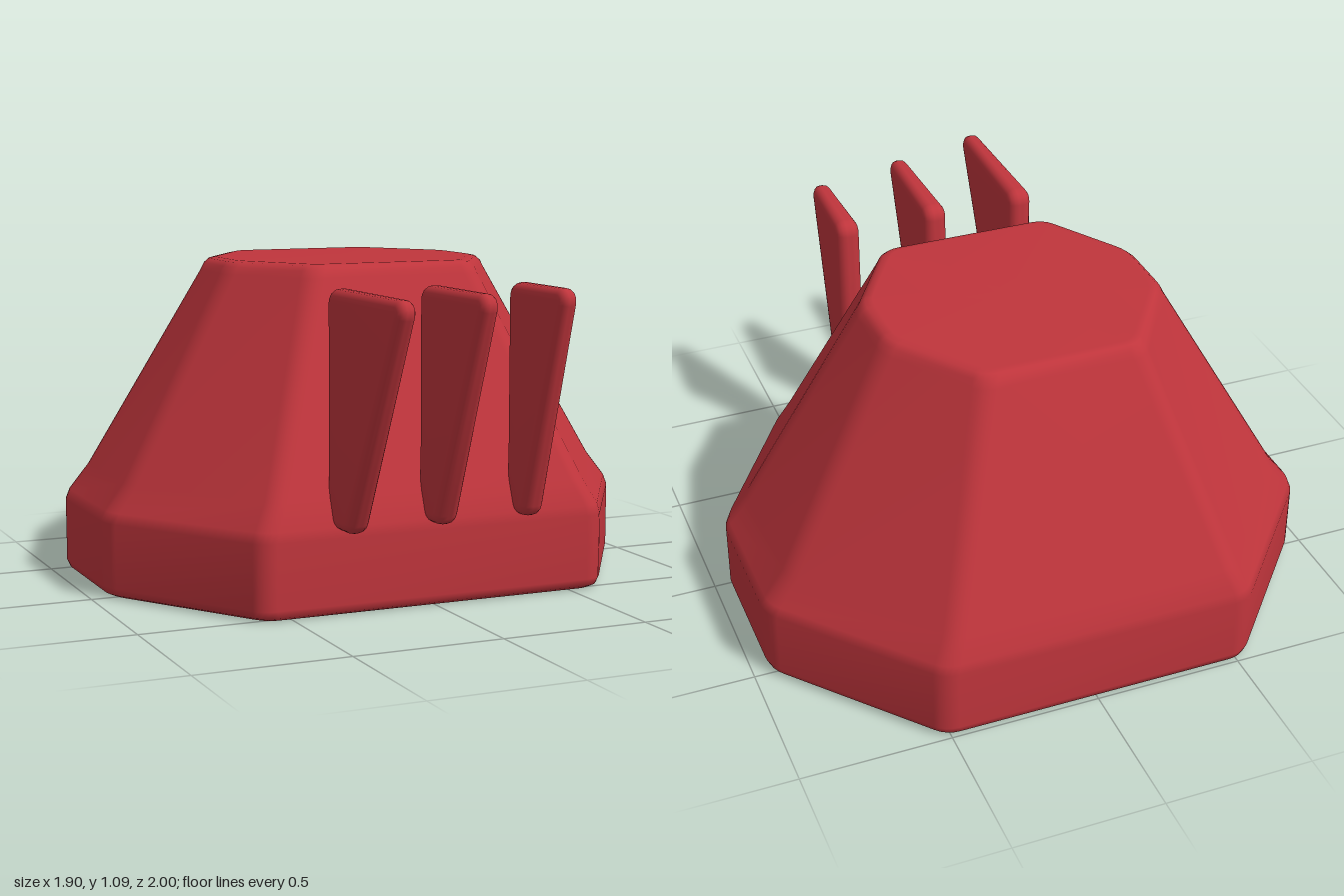
import * as THREE from 'three';
import { mergeVertices, toCreasedNormals } from 'three/addons/utils/BufferGeometryUtils.js';

// Softens every corner of a closed polygon with a short curve
function roundLoop(corners, cut, steps) {
  const pts = corners.map(([a, b]) => new THREE.Vector2(a, b));
  return pts.flatMap((p, i) => {
    const prev = pts[(i + pts.length - 1) % pts.length];
    const next = pts[(i + 1) % pts.length];
    const start = p.clone().add(prev.clone().sub(p).setLength(cut));
    const end = p.clone().add(next.clone().sub(p).setLength(cut));
    return new THREE.QuadraticBezierCurve(start, p, end).getPoints(steps);
  });
}

// Skins a stack of equal-length rings and caps both ends
function loft(rings) {
  const n = rings[0].length;
  const pos = rings.flat(2);
  const index = [];
  for (let r = 0; r < rings.length - 1; r++) {
    for (let i = 0; i < n; i++) {
      const a = r * n + i, b = r * n + (i + 1) % n;
      index.push(a, b, b + n, a, b + n, a + n);
    }
  }
  const last = (rings.length - 1) * n, bottom = rings.length * n, top = bottom + 1;
  pos.push(0, rings[0][0][1], -0.23, 0, rings[rings.length - 1][0][1], -0.23);
  for (let i = 0; i < n; i++) {
    const j = (i + 1) % n;
    index.push(bottom, j, i, top, last + i, last + j);
  }
  const g = new THREE.BufferGeometry();
  g.setAttribute('position', new THREE.Float32BufferAttribute(pos, 3));
  g.setIndex(index);
  g.computeVertexNormals();
  return g;
}

// Mirrors the four corners of one side into a full octagon
function octagon(half) {
  const mirrored = half.map(([x, z]) => [-x, z]).reverse();
  return roundLoop([...half, ...mirrored], 0.045, 4);
}

function bodyGeometry() {
  const base = octagon([[0.6, 0.54], [0.95, 0], [0.95, -0.5], [0.52, -1]]);
  const crown = octagon([[0.3, 0.21], [0.49, -0.1], [0.49, -0.36], [0.27, -0.68]]);
  const ring = (loop, y, sx, sz = sx) =>
    loop.map((p) => [p.x * sx, y, -0.23 + (p.y + 0.23) * sz]);
  return loft([
    ring(base, 0, 0.965), ring(base, 0.01, 0.988), ring(base, 0.035, 1),
    ring(base, 0.25, 1), ring(base, 0.285, 0.985, 0.995), ring(base, 0.37, 0.915, 0.955),
    ring(crown, 1.045, 1), ring(crown, 1.07, 0.975), ring(crown, 1.085, 0.94),
    ring(crown, 1.09, 0.89),
  ]);
}

// Upright wedge fin: profile in z and y, thickness along x
function finGeometry(tip, foot) {
  const outline = [[0.503, 0.31], [foot, 0.31], [tip, 1.005], [0.503, 1.005]];
  let g = new THREE.ExtrudeGeometry(new THREE.Shape(roundLoop(outline, 0.015, 5)), {
    depth: 0.014, bevelEnabled: true, bevelSize: 0.033, bevelThickness: 0.033, bevelSegments: 4,
  });
  g.translate(0, 0, -0.007);
  g.rotateY(-Math.PI / 2);
  // Thin the fin towards its leading tip
  const p = g.attributes.position;
  for (let i = 0; i < p.count; i++) {
    p.setX(i, p.getX(i) * (1.04 - 0.25 * (p.getZ(i) - 0.47) / (tip - 0.47)));
  }
  g.deleteAttribute('uv');
  g.deleteAttribute('normal');
  g = mergeVertices(g, 1e-4);
  return toCreasedNormals(g, 0.7);
}

export function createModel() {
  const model = new THREE.Group();
  const red = new THREE.MeshStandardMaterial({ color: 0xc0353c });
  red.name = 'red';

  const add = (name, geometry, x = 0) => {
    const mesh = new THREE.Mesh(geometry, red);
    mesh.name = name;
    mesh.position.x = x;
    model.add(mesh);
  };

  // Tapered octagonal body
  add('body', bodyGeometry());

  // Three front fins, each shorter than the one before
  add('rightFin', finGeometry(0.97, 0.612), -0.32);
  add('middleFin', finGeometry(0.875, 0.59), 0);
  add('leftFin', finGeometry(0.79, 0.57), 0.32);
  return model;
}
